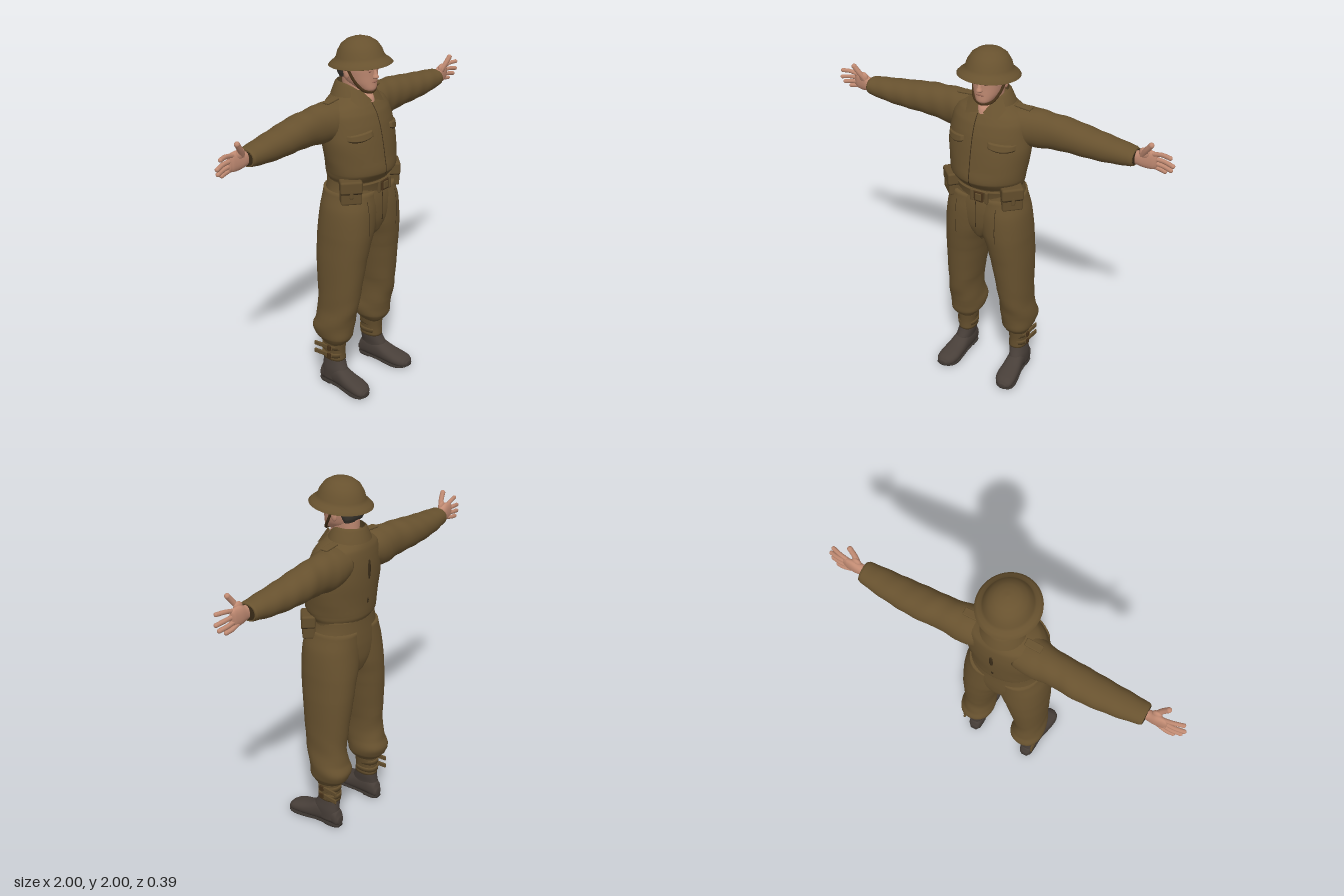
import * as THREE from 'three';
import { RoundedBoxGeometry } from 'three/addons/geometries/RoundedBoxGeometry.js';

const paint = (name, color, side = THREE.FrontSide) => {
  const m = new THREE.MeshStandardMaterial({ color, side });
  m.name = name;
  return m;
};

// Smoothly interpolates rows of [w, uMin, uMax, vMin, vMax] at position w
function sample(rows, w) {
  let i = 0;
  while (i < rows.length - 2 && w > rows[i + 1][0]) i++;
  const p = rows[Math.max(i - 1, 0)], a = rows[i], b = rows[i + 1], q = rows[Math.min(i + 2, rows.length - 1)];
  const f = (w - a[0]) / (b[0] - a[0]);
  return [1, 2, 3, 4].map(k => a[k] + 0.5 * f * (b[k] - p[k] +
    f * (2 * p[k] - 5 * a[k] + 4 * b[k] - q[k] + f * (3 * (a[k] - b[k]) + q[k] - p[k]))));
}

// Lofts rounded sections along an axis: y takes (z, x), x takes (y, z), z takes (x, y)
function loft(axis, rows, { exp = 2.3, n = 28, sub = 5, fold = () => 0 } = {}) {
  const pos = [], idx = [];
  const place = { y: (w, u, v) => [v, w, u], x: (w, u, v) => [w, u, v], z: (w, u, v) => [u, v, w] }[axis];
  const ws = [];
  rows.forEach((r, i) => {
    if (i) for (let s = 1; s <= sub; s++) ws.push(rows[i - 1][0] + (r[0] - rows[i - 1][0]) * s / sub);
    else ws.push(r[0]);
  });
  const round = c => Math.sign(c) * Math.abs(c) ** (2 / exp);
  for (const w of ws) {
    const [u0, u1, v0, v1] = sample(rows, w);
    for (let j = 0; j < n; j++) {
      const t = j / n * Math.PI * 2, k = 0.5 * (1 + fold(t, w));
      pos.push(...place(w, (u0 + u1) / 2 + (u1 - u0) * k * round(Math.cos(t)), (v0 + v1) / 2 + (v1 - v0) * k * round(Math.sin(t))));
    }
  }
  for (let i = 0; i < ws.length - 1; i++) for (let j = 0; j < n; j++) {
    const a = i * n + j, b = i * n + (j + 1) % n;
    idx.push(a, b, b + n, a, b + n, a + n);
  }
  for (const [i, flip] of [[0, true], [ws.length - 1, false]]) {
    const [u0, u1, v0, v1] = sample(rows, ws[i]), c = pos.length / 3;
    pos.push(...place(ws[i], (u0 + u1) / 2, (v0 + v1) / 2));
    for (let j = 0; j < n; j++) {
      const a = i * n + j, b = i * n + (j + 1) % n;
      idx.push(c, flip ? b : a, flip ? a : b);
    }
  }
  return build(pos, idx);
}

function build(pos, idx) {
  const g = new THREE.BufferGeometry();
  g.setAttribute('position', new THREE.Float32BufferAttribute(pos, 3));
  g.setIndex(idx);
  g.computeVertexNormals();
  return g;
}

// Thin cloth panel that follows the front of a vertical loft
function panel(rows, exp, x0, x1, top, bottom, lift, n = 10) {
  const pos = [], idx = [];
  for (let i = 0; i <= n; i++) for (let j = 0; j <= n; j++) {
    const s = j / n, x = x0 + (x1 - x0) * s, y = top(s) + (bottom(s) - top(s)) * i / n;
    const [z0, z1, xa, xb] = sample(rows, y);
    const d = Math.min(1, Math.abs(x - (xa + xb) / 2) / ((xb - xa) / 2));
    const edge = lift > 0.005 && (i % n === 0 || j % n === 0);
    pos.push(x, y, (z0 + z1) / 2 + (z1 - z0) / 2 * (1 - d ** exp) ** (1 / exp) + (edge ? -0.003 : lift));
    if (i < n && j < n) {
      const a = i * (n + 1) + j, b = a + n + 1;
      idx.push(a, b, a + 1, a + 1, b, b + 1);
    }
  }
  return build(pos, idx);
}

function mirrored(g) {
  const m = g.clone().scale(-1, 1, 1);
  const src = m.index ? Array.from(m.index.array) : Array.from({ length: m.attributes.position.count }, (_, i) => i);
  for (let i = 0; i < src.length; i += 3) [src[i + 1], src[i + 2]] = [src[i + 2], src[i + 1]];
  m.setIndex(src);
  return m;
}

export function createModel() {
  const model = new THREE.Group();
  const khaki = paint('khaki wool', 0x68522f, THREE.DoubleSide), webbing = paint('webbing', 0x624d2c);
  const seam = paint('dark seam', 0x3a2c18, THREE.DoubleSide), strap = paint('strap leather', 0x463119);
  const skin = paint('skin', 0xc08a72), lip = paint('lips and eyes', 0x8f6050), hair = paint('hair', 0x3b362f);
  const boot = paint('boot leather', 0x483f39), sole = paint('boot sole', 0x38322d);
  const add = (name, g, mat) => {
    const m = new THREE.Mesh(g, mat);
    m.name = name;
    model.add(m);
  };
  const pair = (name, g, mat) => { add(name + 'Left', g, mat); add(name + 'Right', mirrored(g), mat); };
  const box = (w, h, d, x, y, z, ry = 0, r = 0.006) => new RoundedBoxGeometry(w, h, d, 2, r).rotateY(ry).translate(x, y, z);
  const ball = (rx, ry, rz, x, y, z) => new THREE.SphereGeometry(1, 14, 10).scale(rx, ry, rz).translate(x, y, z);
  const tube = (pts, r, n = 24) => new THREE.TubeGeometry(new THREE.CatmullRomCurve3(pts.map(p => new THREE.Vector3(...p))), n, r, 8);

  // Blouse, bunched over the waist
  const torso = [[1.2, -.163, .12, -.185, .185], [1.255, -.163, .13, -.188, .188], [1.28, -.174, .152, -.2, .2], [1.31, -.178, .174, -.208, .208],
    [1.38, -.182, .166, -.219, .219], [1.48, -.189, .15, -.23, .23], [1.56, -.19, .132, -.222, .222],
    [1.62, -.185, .11, -.212, .212], [1.66, -.178, .085, -.185, .185], [1.69, -.165, .06, -.125, .125], [1.72, -.145, .042, -.08, .08]];
  add('blouse', loft('y', torso, { exp: 2, n: 40, fold: (t, w) => .007 * Math.sin(5 * t + 30 * w) * Math.max(0, 1.6 - w) * 3 }), khaki);
  add('placketSeam', panel(torso, 2, -.019, -.014, () => 1.67, () => 1.27, .004, 24), seam);
  const flapTop = s => 1.55 - .02 * s, flapBottom = s => 1.522 - .02 * s - .014 * Math.sin(Math.PI * s);
  pair('pocketFlapSeam', panel(torso, 2, .069, .197, flapTop, s => flapBottom(s) - .004, .006), seam);
  pair('pocketFlap', panel(torso, 2, .067, .199, flapTop, flapBottom, .01), khaki);
  pair('shoulderStrap', box(.09, .012, .042, 0, 0, 0, 0, .005).rotateZ(-.08).translate(.17, 1.69, -.065), khaki);
  add('backSlit', ball(.012, .055, .006, 0, 1.545, -.188), seam);
  add('backSlitLower', ball(.007, .016, .005, 0, 1.37, -.181), seam);

  // Collar: standing band and two points
  const band = [], bandIdx = [], N = 28;
  for (let i = 0; i <= N; i++) {
    const a = .5 + (2 * Math.PI - 1) * i / N, s = Math.sin(a), c = Math.cos(a), drop = .05 * Math.max(0, c) ** 2;
    band.push(.076 * s, 1.762 - drop, -.055 + .088 * c, .092 * s, 1.75 - drop, -.055 + .098 * c, .118 * s, 1.69 - drop * .2, -.058 + .115 * c);
    if (i < N) for (const k of [0, 1]) { const p = i * 3 + k; bandIdx.push(p, p + 1, p + 3, p + 1, p + 4, p + 3); }
  }
  add('collarBand', build(band, bandIdx), khaki);
  pair('collarPoint', build([.012, 1.678, .079, .05, 1.735, .04, .084, 1.738, .0, .114, 1.692, .02, .09, 1.652, .08],
    [0, 4, 1, 1, 4, 2, 2, 4, 3]), khaki);

  // Sleeves, widening into the shoulder
  const sleeve = [[.1, 1.5, 1.68, -.17, .05], [.17, 1.48, 1.684, -.176, .028], [.24, 1.478, 1.683, -.174, .01],
    [.32, 1.488, 1.677, -.168, 0], [.4, 1.495, 1.67, -.176, -.002], [.5, 1.497, 1.655, -.174, -.004], [.6, 1.5, 1.642, -.164, -.008],
    [.7, 1.51, 1.63, -.152, -.012], [.78, 1.523, 1.62, -.138, -.018], [.792, 1.527, 1.614, -.132, -.024]];
  pair('sleeve', loft('x', sleeve, { exp: 2.1, fold: (t, w) => w > .75 || w < .2 ? 0 : .016 * Math.sin(2 * t + 55 * w) }), khaki);
  pair('cuffSeam', loft('x', [[.791, 1.533, 1.609, -.127, -.029], [.794, 1.536, 1.606, -.124, -.032]], { sub: 1 }), seam);

  // Hands, palms forward
  pair('palm', loft('x', [[.77, 1.54, 1.605, -.1, -.055], [.805, 1.535, 1.61, -.1, -.05], [.84, 1.527, 1.626, -.102, -.054],
    [.88, 1.528, 1.625, -.098, -.062], [.9, 1.538, 1.615, -.093, -.07]]), skin);
  pair('thumbBase', ball(.028, .03, .016, .836, 1.61, -.066), skin);
  const fingers = { index: [[.87, 1.609, -.077], [.925, 1.622, -.072], [.972, 1.623, -.06]],
    middle: [[.875, 1.587, -.08], [.935, 1.585, -.08], [.986, 1.577, -.07]],
    ring: [[.87, 1.563, -.084], [.93, 1.555, -.086], [.975, 1.547, -.078]],
    little: [[.86, 1.542, -.086], [.91, 1.532, -.092], [.942, 1.527, -.088]],
    thumb: [[.825, 1.595, -.066], [.853, 1.64, -.05], [.878, 1.675, -.042]] };
  for (const [name, pts] of Object.entries(fingers)) {
    const r = name === 'thumb' ? .0145 : .0115, e = pts[2];
    pair(name + 'Finger', tube(pts, r, 10), skin);
    pair(name + 'Fingertip', ball(r, r, r, ...e), skin);
  }

  // Trousers, bagging over the ankles
  add('trouserSeat', loft('y', [[.91, -.11, .08, -.015, .015], [.95, -.145, .115, -.05, .05], [1.02, -.167, .137, -.15, .15],
    [1.1, -.172, .143, -.21, .21], [1.16, -.17, .139, -.208, .208], [1.22, -.166, .128, -.192, .192], [1.27, -.164, .125, -.186, .186]], { exp: 2.2, n: 36 }), khaki);
  const leg = [[.27, -.12, .01, .115, .225], [.29, -.145, .032, .1, .238], [.32, -.172, .05, .08, .256], [.37, -.19, .055, .07, .265],
    [.42, -.17, .066, .074, .262], [.5, -.157, .085, .078, .252], [.6, -.16, .1, .065, .25], [.8, -.175, .122, .03, .25],
    [.9, -.178, .136, .006, .246], [.98, -.178, .144, -.025, .243], [1.1, -.17, .144, -.05, .23], [1.2, -.163, .13, -.05, .2]];
  pair('trouserLeg', loft('y', leg, { exp: 2.2, fold: (t, w) => .02 * Math.sin(3 * t + 38 * w) * Math.max(0, Math.min(1, 3 * (.75 - w))) }), khaki);
  pair('trouserPleat', panel(leg, 2.2, .118, .121, () => 1.16, () => .95, .002), seam);
  add('fly', box(.003, .16, .008, .002, 1.1, .14, 0, .001), seam);

  // Front belt, buckle and pouches
  add('belt', panel(torso, 2, -.17, .17, () => 1.252, () => 1.19, .013, 16), webbing);
  add('buckle', box(.055, .06, .016, .022, 1.217, .138), strap);
  add('buckleCentre', box(.038, .044, .02, .022, 1.217, .14), webbing);
  for (const x of [-.022, .067]) add('beltKeeper', box(.018, .068, .016, x, 1.217, .135), webbing);
  const pouch = (w, h, d, y, out) => box(w, h, d, .18 + out * .7, y, .07 + out * .7, .75, .012);
  pair('pouch', pouch(.112, .122, .07, 1.22, 0), webbing);
  pair('pouchFlapEdge', pouch(.115, .072, .073, 1.252, .002), seam);
  pair('pouchFlap', pouch(.118, .07, .076, 1.256, .002), webbing);
  pair('pouchTab', pouch(.026, .06, .028, 1.222, .027), webbing);

  // Anklets with buckled straps
  pair('anklet', loft('y', [[.165, -.126, .008, .12, .22], [.22, -.124, .005, .12, .222], [.29, -.125, .01, .112, .228]]), webbing);
  for (const y of [.2, .25]) {
    pair('ankletStrap', loft('y', [[y - .013, -.13, .004, .118, .228], [y + .013, -.13, .004, .118, .228]], { sub: 1 }), webbing);
    pair('ankletStrapEnd', box(.012, .026, .12, .226, y, -.095, -.08, .004), webbing);
    pair('ankletBuckle', box(.01, .032, .022, .232, y, -.05, 0, .003), strap);
  }

  // Boots
  pair('bootShaft', loft('y', [[.03, -.137, .03, .14, .222], [.1, -.128, .035, .136, .226], [.15, -.124, .012, .127, .22], [.19, -.122, 0, .124, .216]]), boot);
  pair('bootFoot', loft('z', [[-.145, .155, .2, .02, .06], [-.13, .145, .213, .006, .1], [-.08, .136, .22, .006, .14], [0, .134, .23, .006, .128],
    [.06, .132, .242, .006, .098], [.12, .132, .25, .006, .08], [.16, .142, .25, .006, .068], [.182, .16, .24, .01, .054], [.194, .18, .222, .018, .04]]), boot);
  pair('bootSole', loft('z', [[-.145, .16, .2, .006, .014], [-.12, .142, .217, .006, .014], [0, .14, .226, .006, .014], [.06, .136, .24, .003, .014],
    [.12, .133, .252, .002, .014], [.16, .143, .252, .004, .016], [.185, .163, .24, .008, .018], [.197, .185, .22, .012, .02]], { exp: 4 }), sole);
  pair('bootHeel', loft('z', [[-.144, .16, .2, 0, .014], [-.12, .143, .216, 0, .014], [-.06, .14, .222, 0, .014]], { exp: 5 }), sole);

  // Head and face
  add('neck', loft('y', [[1.66, -.11, .08, -.045, .045], [1.685, -.11, .074, -.045, .045], [1.7, -.11, .064, -.048, .048], [1.735, -.11, .035, -.055, .055],
    [1.8, -.11, .02, -.06, .06]]), skin);
  add('head', loft('y', [[1.722, .02, .072, -.022, .022], [1.737, -.03, .086, -.045, .045], [1.77, -.09, .087, -.066, .066], [1.81, -.113, .087, -.077, .077],
    [1.85, -.115, .088, -.083, .083], [1.89, -.1, .085, -.08, .08], [1.93, -.07, .05, -.055, .055]], { exp: 2.2 }), skin);
  add('hair', loft('y', [[1.79, -.108, -.06, -.068, .068], [1.81, -.118, -.05, -.078, .078], [1.84, -.121, -.04, -.085, .085], [1.87, -.112, -.04, -.086, .086]]), hair);
  add('nose', loft('y', [[1.795, .07, .1, -.013, .013], [1.803, .07, .109, -.016, .016], [1.82, .07, .102, -.011, .011], [1.85, .07, .091, -.007, .007]], { n: 14 }), skin);
  add('mouth', ball(.022, .0045, .008, 0, 1.776, .084), lip);
  pair('ear', ball(.01, .03, .018, .086, 1.822, -.028), skin);
  pair('eye', ball(.011, .004, .005, .033, 1.836, .08), lip);
  add('chinStrap', tube([[-.1, 1.885, -.025], [-.091, 1.84, -.012], [-.078, 1.78, .02], [-.05, 1.735, .055], [0, 1.72, .07],
    [.05, 1.735, .055], [.078, 1.78, .02], [.091, 1.84, -.012], [.1, 1.885, -.025]], .0075, 40), strap);

  // Shallow wide-brimmed helmet, tipped back slightly
  const profile = [[0, .115], [.06, .103], [.1, .062], [.115, .022], [.127, .007], [.162, -.014], [.167, -.011], [.152, .004], [.134, .016],
    [.124, .032], [.116, .058], [.094, .093], [.063, .115], [.032, .125], [0, .128]];
  add('helmet', new THREE.LatheGeometry(profile.map(p => new THREE.Vector2(...p)), 48).scale(.97, 1, 1.02).rotateX(-.085).translate(0, 1.872, -.006), khaki);
  return model;
}
